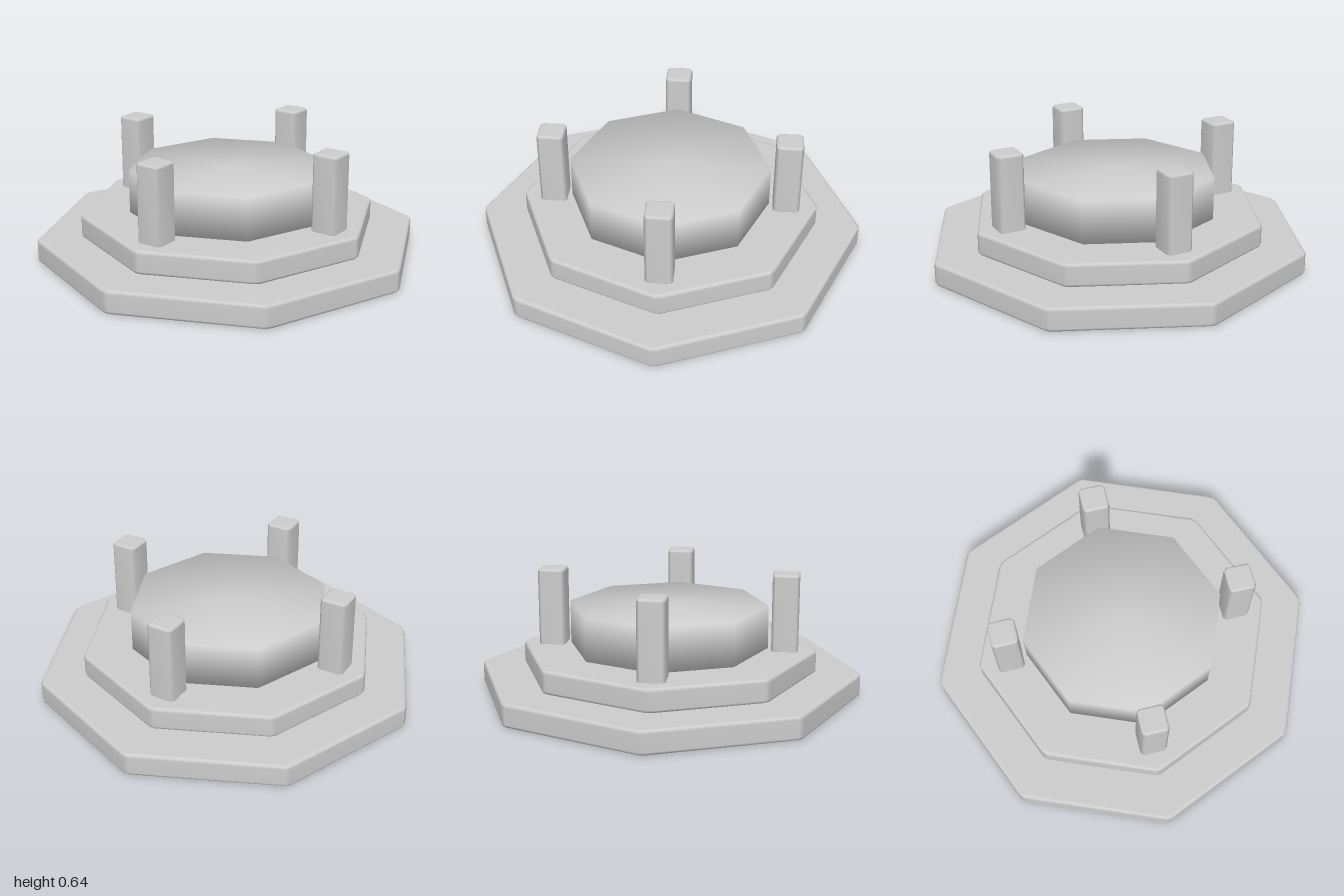
import * as THREE from 'three';
import { mergeVertices } from 'three/addons/utils/BufferGeometryUtils.js';

// Shared vertices give soft shading across the edges.
function smooth(geometry) {
  geometry.deleteAttribute('uv');
  geometry.deleteAttribute('normal');
  const merged = mergeVertices(geometry, 1e-4);
  merged.computeVertexNormals();
  return merged;
}

// Upright prism with a corner on each axis, small cut corners and rounded rims.
function bevelledPrism(sides, radius, y0, y1, cut, bevel) {
  const half = Math.PI / sides;
  const outer = radius + cut * Math.cos(Math.PI / 2 - half);
  const edge = 2 * outer * Math.sin(half);
  const corner = (i) => new THREE.Vector2(
    Math.cos(i * 2 * half) * outer, Math.sin(i * 2 * half) * outer);
  const points = [];
  for (let i = 0; i < sides; i++) {
    points.push(corner(i).lerp(corner(i - 1), cut / edge));
    points.push(corner(i).lerp(corner(i + 1), cut / edge));
  }
  const geometry = new THREE.ExtrudeGeometry(new THREE.Shape(points), {
    depth: y1 - y0 - 2 * bevel,
    bevelThickness: bevel, bevelSize: bevel, bevelOffset: -bevel, bevelSegments: 3,
  });
  geometry.rotateX(-Math.PI / 2);
  geometry.translate(0, y0 + bevel, 0);
  return smooth(geometry);
}

export function createModel() {
  const stone = new THREE.MeshStandardMaterial({ color: 0xcccccc });
  stone.name = 'pale grey';
  const model = new THREE.Group();
  model.name = 'steppedPlatform';

  const add = (name, geometry, x = 0, z = 0) => {
    const mesh = new THREE.Mesh(geometry, stone);
    mesh.name = name;
    mesh.position.set(x, 0, z);
    model.add(mesh);
  };

  // Two bevelled octagonal steps
  add('lowerStep', bevelledPrism(8, 1, 0, 0.12, 0.016, 0.016));
  add('middleStep', bevelledPrism(8, 0.77, 0.12, 0.24, 0.016, 0.016));

  // Sharp-edged octagonal drum on top
  const drum = new THREE.CylinderGeometry(0.52, 0.52, 0.235, 8);
  drum.translate(0, 0.3475, 0);
  add('topDrum', smooth(drum));

  // Four square posts, turned to stand corner-on
  const post = bevelledPrism(4, 0.087, 0.23, 0.64, 0.015, 0.013);
  for (const x of [-1, 1]) {
    for (const z of [-1, 1]) {
      add(`${z > 0 ? 'front' : 'back'}${x > 0 ? 'Left' : 'Right'}Post`, post, x * 0.43, z * 0.43);
    }
  }
  return model;
}
